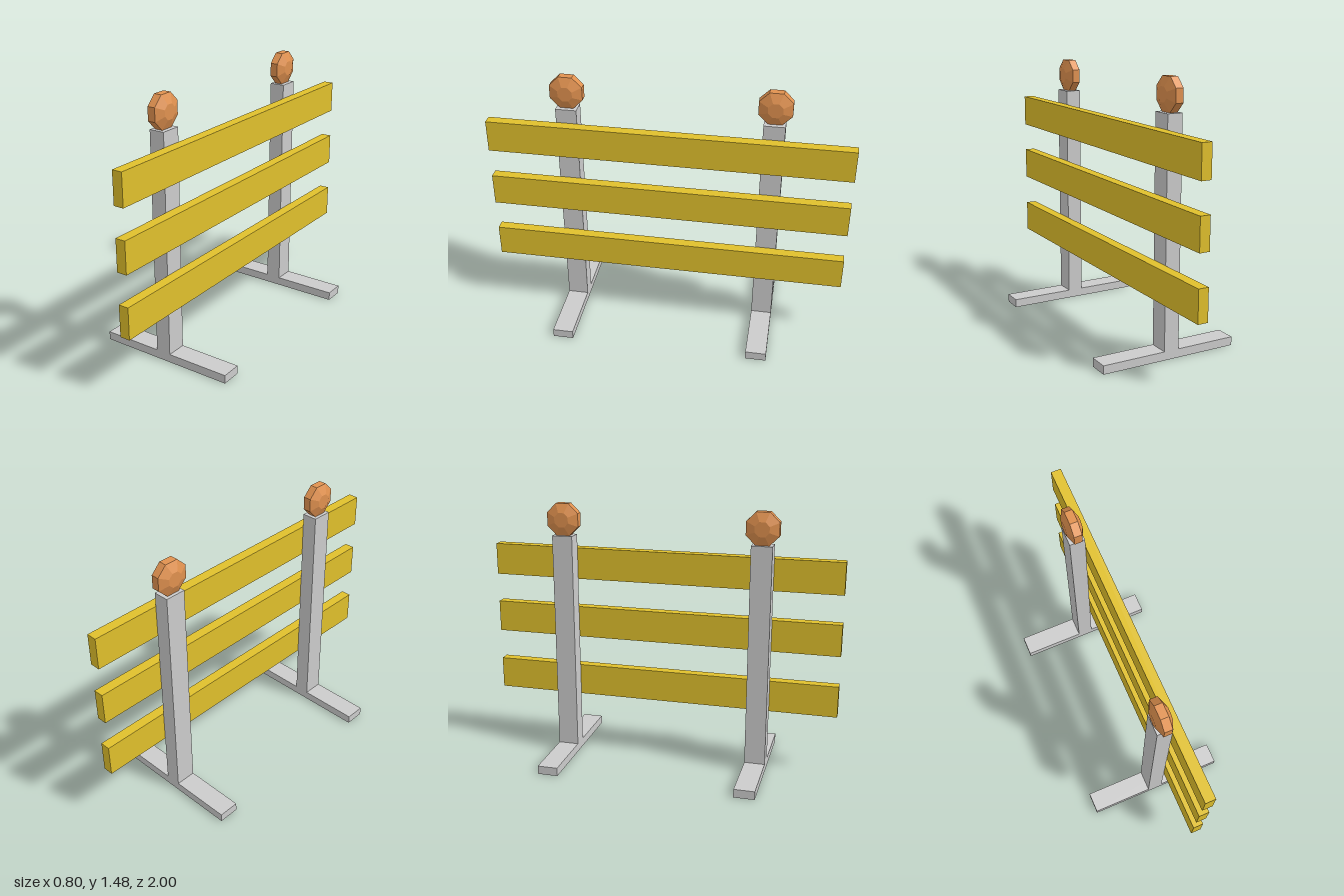
import * as THREE from 'three';

const grey = new THREE.MeshStandardMaterial({ color: 0xcccccc, flatShading: true });
const yellow = new THREE.MeshStandardMaterial({ color: 0xe0c02c, flatShading: true });
const orange = new THREE.MeshStandardMaterial({ color: 0xe0914f, flatShading: true });

// Box given by its lower and upper corners
function box(name, material, [x0, y0, z0], [x1, y1, z1]) {
  const mesh = new THREE.Mesh(new THREE.BoxGeometry(x1 - x0, y1 - y0, z1 - z0), material);
  mesh.position.set((x0 + x1) / 2, (y0 + y1) / 2, (z0 + z1) / 2);
  mesh.name = name;
  return mesh;
}

// Eight-sided bevelled lamp, its axis along x
function lampGeometry() {
  const profile = [[0, -0.045], [0.043, -0.045], [0.0975, -0.022], [0.0975, 0.022], [0.043, 0.045], [0, 0.045]]
    .map(([r, h]) => new THREE.Vector2(r, h));
  return new THREE.LatheGeometry(profile, 8, Math.PI / 8).rotateZ(Math.PI / 2);
}

export function createModel() {
  const barricade = new THREE.Group();
  barricade.name = 'barricade';

  // Two stands: foot, post and warning lamp
  for (const side of [-1, 1]) {
    const stand = new THREE.Group();
    stand.name = side > 0 ? 'frontStand' : 'backStand';
    stand.position.z = side * 0.56;
    stand.add(box('foot', grey, [-0.4, 0, -0.058], [0.395, 0.048, 0.058]));
    stand.add(box('post', grey, [-0.055, 0.048, -0.058], [0.032, 1.3, 0.058]));
    const lamp = new THREE.Mesh(lampGeometry(), orange);
    lamp.name = 'warningLamp';
    lamp.position.set(-0.015, 1.39, 0);
    stand.add(lamp);
    barricade.add(stand);
  }

  // Three long boards fixed to the left faces of the posts
  for (const y of [0.34, 0.695, 1.04]) {
    barricade.add(box('board', yellow, [0.032, y, -1], [0.09, y + 0.18, 1]));
  }
  return barricade;
}
